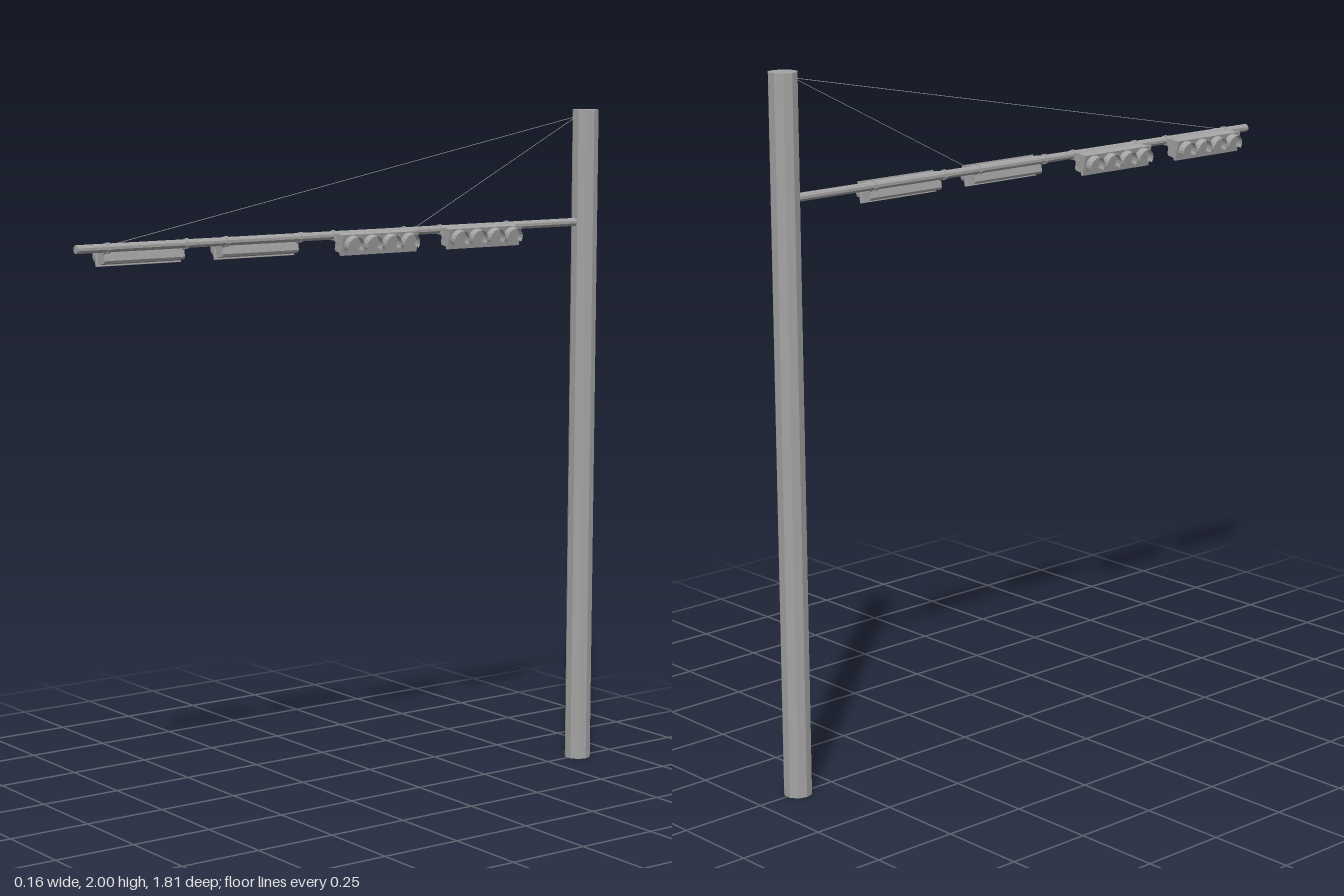
import * as THREE from 'three';

const metal = new THREE.MeshStandardMaterial({ color: 0xa4a4a4, flatShading: true });
const thin = new THREE.MeshStandardMaterial({ color: 0xa4a4a4, flatShading: true, side: THREE.DoubleSide });

const ARM_Y = 1.664;
const POLE_Z = -0.869;

function add(parent, name, geometry, x = 0, y = 0, z = 0, material = metal) {
  const mesh = new THREE.Mesh(geometry, material);
  mesh.name = name;
  mesh.position.set(x, y, z);
  parent.add(mesh);
  return mesh;
}

// Thin straight wire between two points
function addWire(parent, name, from, to) {
  const dir = to.clone().sub(from);
  const mid = from.clone().add(to).multiplyScalar(0.5);
  const wire = add(parent, name, new THREE.CylinderGeometry(0.0009, 0.0009, dir.length(), 6), mid.x, mid.y, mid.z);
  wire.quaternion.setFromUnitVectors(new THREE.Vector3(0, 1, 0), dir.normalize());
}

// Four-lamp signal head facing +x, tilted slightly downward
function signalHead() {
  const head = new THREE.Group();
  head.name = 'signalHead';
  const tilted = new THREE.Group();
  tilted.name = 'lampHousing';
  tilted.position.set(0.05, 1.64, 0);
  tilted.rotation.z = -0.2;
  head.add(tilted);

  // Housing with a slightly chamfered back
  const profile = new THREE.Shape([
    [0, -0.026], [0, 0.026], [-0.03, 0.026], [-0.035, 0.02], [-0.035, -0.02], [-0.03, -0.026],
  ].map(([x, y]) => new THREE.Vector2(x, y)));
  const body = new THREE.ExtrudeGeometry(profile, { depth: 0.256, bevelEnabled: false });
  body.translate(0, 0, -0.128);
  add(tilted, 'housing', body);
  add(tilted, 'facePlate', new THREE.BoxGeometry(0.007, 0.06, 0.268), 0.002, 0, 0);

  // Lenses under hooded visors
  for (let i = 0; i < 4; i++) {
    const z = (i - 1.5) * 0.066;
    const lens = new THREE.CylinderGeometry(0.027, 0.027, 0.003, 16);
    lens.rotateZ(-Math.PI / 2);
    add(tilted, 'lens', lens, 0.006, 0, z);
    const visor = new THREE.CylinderGeometry(0.028, 0.028, 0.021, 12, 1, true, Math.PI * 0.85, Math.PI * 1.3);
    visor.rotateZ(-Math.PI / 2);
    add(tilted, 'visor', visor, 0.016, 0, z, thin);
  }

  // Clamps around the arm with brackets to the housing
  for (const z of [-0.125, 0.125]) {
    const clamp = new THREE.CylinderGeometry(0.015, 0.015, 0.008, 10);
    clamp.rotateX(Math.PI / 2);
    add(head, 'clamp', clamp, 0, ARM_Y, z);
    const bracket = add(head, 'bracket', new THREE.BoxGeometry(0.03, 0.01, 0.008), 0.017, ARM_Y - 0.013, z);
    bracket.rotation.z = -0.6;
  }
  return head;
}

export function createModel() {
  const model = new THREE.Group();
  model.name = 'trafficSignalMast';

  // Ten-sided pole with corners towards the sides
  const pole = new THREE.CylinderGeometry(0.04, 0.04, 2, 10);
  pole.rotateY(Math.PI / 2);
  add(model, 'pole', pole, 0, 1, POLE_Z);

  const armLength = 0.907 - POLE_Z;
  const arm = new THREE.CylinderGeometry(0.012, 0.012, armLength, 10);
  arm.rotateX(Math.PI / 2);
  add(model, 'arm', arm, 0, ARM_Y, POLE_Z + armLength / 2);

  // Stay wires from the pole top to the arm
  const anchor = new THREE.Vector3(0, 1.98, POLE_Z + 0.035);
  for (const z of [0.78, -0.23]) {
    addWire(model, 'stayWire', anchor, new THREE.Vector3(0, ARM_Y + 0.011, z));
  }

  // Two heads face each way
  for (const [z, turn] of [[0.683, Math.PI], [0.303, Math.PI], [-0.06, 0], [-0.44, 0]]) {
    const head = signalHead();
    head.position.z = z;
    head.rotation.y = turn;
    model.add(head);
  }
  return model;
}
